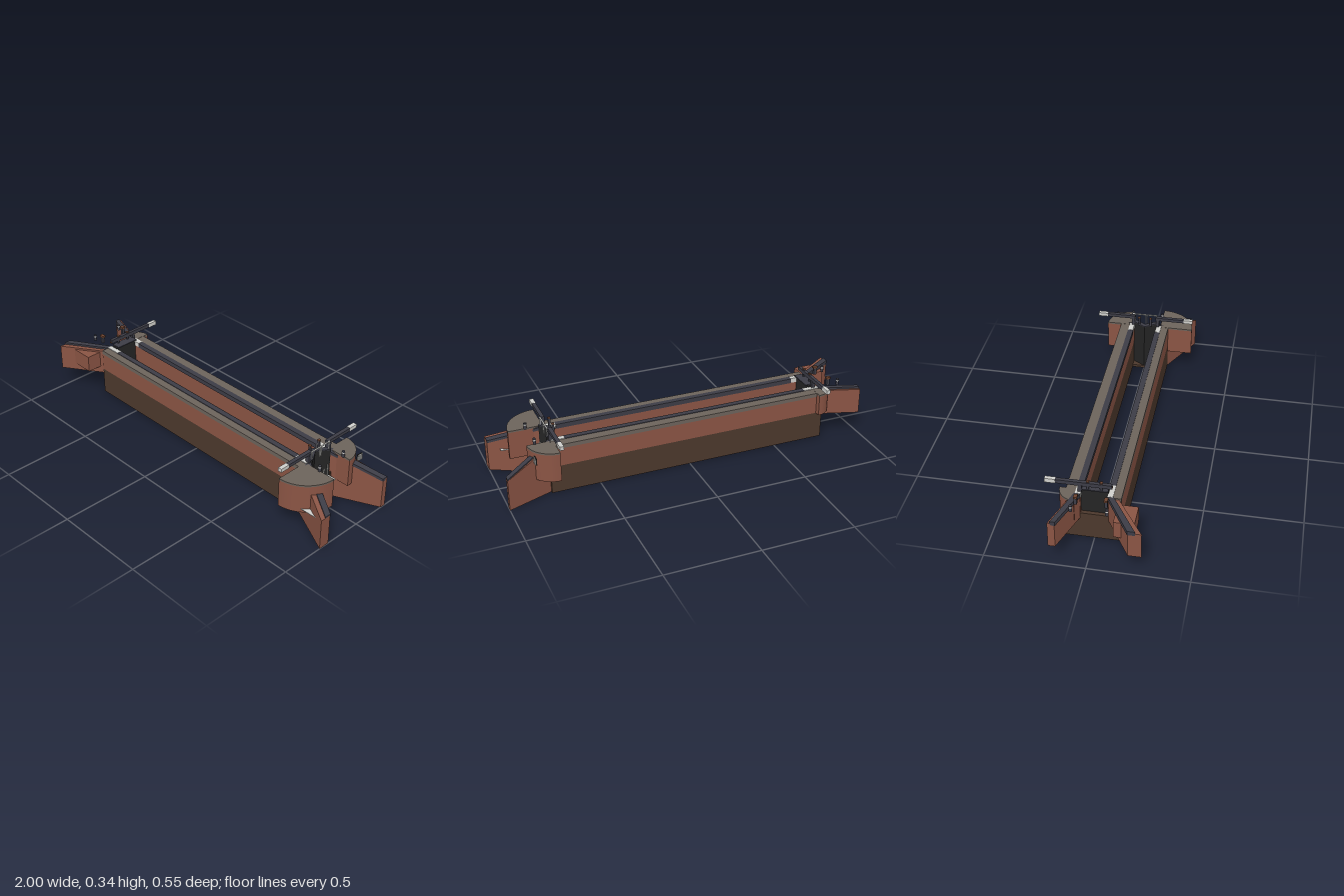
import * as THREE from 'three';

const mat = (name, color) => {
  const m = new THREE.MeshStandardMaterial({ color });
  m.name = name;
  return m;
};

export function createModel() {
  const root = new THREE.Group();
  root.name = 'canalLock';
  const brick = mat('brick', 0x8a5444);
  const darkBrick = mat('wet brick', 0x4c382c);
  const slate = mat('slate coping', 0x3c3c46);
  const paving = mat('paving', 0x6c635b);
  const black = mat('gate timber', 0x242424);
  const white = mat('white paint', 0xd0d0cc);
  const timber = mat('brown timber', 0x6e4430);

  const add = (name, geo, m) => {
    const mesh = new THREE.Mesh(geo, m);
    mesh.name = name;
    root.add(mesh);
    return mesh;
  };
  // Box given by its limits on each axis
  const box = (name, m, x0, x1, y0, y1, z0, z1) => {
    const g = new THREE.BoxGeometry(x1 - x0, y1 - y0, Math.abs(z1 - z0));
    g.translate((x0 + x1) / 2, (y0 + y1) / 2, (z0 + z1) / 2);
    return add(name, g, m);
  };
  // Upright prism over an x/z outline; limits may be functions of x
  const prism = (name, m, shape, y0, y1) => {
    const g = new THREE.ExtrudeGeometry(shape, { depth: 1, bevelEnabled: false, curveSegments: 24 });
    g.rotateX(-Math.PI / 2);
    const p = g.attributes.position;
    const at = (v, x) => (typeof v === 'function' ? v(x) : v);
    for (let i = 0; i < p.count; i++) p.setY(i, at(p.getY(i) > 0.5 ? y1 : y0, p.getX(i)));
    g.computeVertexNormals();
    return add(name, g, m);
  };
  const outline = (pts) => new THREE.Shape(pts.map(([x, z]) => new THREE.Vector2(x, -z)));
  const quarter = (x, z, r, dx, dz) => {
    const pts = [[x, z]];
    for (let i = 0; i <= 24; i++) {
      const a = (i / 24) * Math.PI / 2;
      pts.push([x + dx * r * Math.cos(a), z + dz * r * Math.sin(a)]);
    }
    return outline(pts);
  };

  // Chamber side walls with paving, coping and quoin stones
  for (const s of [1, -1]) {
    const out = s > 0 ? 0.133 : 0.142;
    box('lowerWall', darkBrick, -0.785, 0.76, 0, 0.15, s * 0.067, s * out);
    box('upperWall', brick, -0.785, 0.735, 0.15, 0.248, s * 0.067, s * out);
    box('wallPaving', paving, -0.785, 0.735, 0.248, 0.27, s * 0.092, s * out);
    box('chamberCoping', slate, -0.7, 0.665, 0.248, 0.273, s * 0.062, s * 0.092);
    box('upperQuoin', white, -0.785, -0.7, 0.248, 0.274, s * 0.064, s * 0.092);
    box('lowerQuoin', white, 0.665, 0.735, 0.248, 0.274, s * 0.064, s * 0.092);
  }
  box('breastWall', darkBrick, -0.785, -0.72, 0, 0.15, -0.067, 0.067);
  box('lowerSill', darkBrick, 0.69, 0.75, 0, 0.015, -0.067, 0.067);

  // Tail wing walls, sloping down away from the lock
  const slope = (x) => 0.27 - (x - 0.74) * 0.37;
  for (const [s, inner, cope, outer, root0] of [[1, 0.205, 0.238, 0.266, 0.133], [-1, 0.188, 0.217, 0.218, 0.12]]) {
    prism('tailWing', brick, outline([[0.74, s * 0.067], [1, s * inner], [1, s * outer], [0.74, s * root0]]), 0, (x) => slope(x) - 0.004);
    prism('tailWingCoping', slate, outline([[0.74, s * 0.064], [1, s * (inner - 0.003)], [1, s * cope], [0.74, s * 0.1]]),
      (x) => slope(x) - 0.012, (x) => slope(x) + 0.003);
  }

  // Rounded gate platforms at the tail
  for (const [s, r, cx] of [[1, 0.185, 0.727], [-1, 0.135, 0.727]]) {
    prism('roundPlatform', brick, quarter(cx, s * 0.086, r, 1, s), 0.11, 0.262);
    prism('roundPlatformPaving', paving, quarter(cx, s * 0.086, r, 1, s), 0.262, 0.271);
  }
  // Small rounded platform at the head
  prism('headPlatform', brick, quarter(-0.75, -0.085, 0.088, -1, -1), 0.15, 0.262);
  prism('headPlatformPaving', paving, quarter(-0.75, -0.085, 0.088, -1, -1), 0.262, 0.271);

  // Head wing walls, level-topped
  for (const [s, inner, cope, outer, root0] of [[1, 0.2, 0.235, 0.266, 0.12], [-1, 0.143, 0.165, 0.178, 0.105]]) {
    prism('headWing', brick, outline([[-0.78, s * 0.067], [-1, s * inner], [-1, s * outer], [-0.78, s * root0]]), 0.12, 0.262);
    prism('headWingCoping', slate, outline([[-0.78, s * 0.064], [-1, s * (inner - 0.003)], [-1, s * cope], [-0.78, s * 0.095]]), 0.25, 0.273);
  }
  box('headButtress', brick, -0.93, -0.805, 0.16, 0.252, 0.12, 0.22);

  // Mitre gates with balance beams, railings and paddle posts
  for (const s of [1, -1]) {
    prism('mitreGate', black, outline([[0.69, 0], [0.735, s * 0.067], [0.755, s * 0.067], [0.712, 0]]), 0.015, 0.285);
    prism('gateWalkway', slate, outline([[0.685, 0], [0.73, s * 0.065], [0.757, s * 0.065], [0.715, 0]]), 0.285, 0.29);
    box('balanceBeam', slate, 0.722, 0.742, 0.315, 0.333, s * 0.06, s * 0.222);
    box('beamTip', white, 0.721, 0.743, 0.314, 0.334, s * 0.222, s * 0.273);
    box('heelPost', slate, 0.722, 0.745, 0.27, 0.32, s * 0.062, s * 0.08);
    box('paddlePost', slate, 0.7, 0.712, 0.285, 0.333, s * 0.028, s * 0.038);
    box('paddleCap', timber, 0.699, 0.713, 0.333, 0.338, s * 0.026, s * 0.04);
    for (const z of [0.003, 0.06]) box('railPost', white, 0.744, 0.749, 0.275, 0.333, s * z, s * (z + 0.004));
  }
  box('handRail', white, 0.743, 0.75, 0.331, 0.335, -0.067, 0.067);

  // Leak jets and foam below the mitre gates
  box('foam', white, 0.745, 0.8, 0.127, 0.131, -0.066, 0.066);
  [[0.044, 0.2], [0.013, 0.198], [-0.021, 0.193], [-0.047, 0.207]].forEach(([z, h]) =>
    box('waterJet', white, 0.757, 0.762, 0.13, h, z - 0.003, z + 0.003));

  // Head gate with its single beam
  box('headGate', black, -0.765, -0.735, 0.13, 0.285, -0.067, 0.067);
  box('headGateWalkway', slate, -0.772, -0.72, 0.285, 0.291, -0.066, 0.066);
  box('headBeam', slate, -0.771, -0.753, 0.309, 0.33, -0.19, 0.085);
  box('headBeamTip', white, -0.772, -0.752, 0.308, 0.331, -0.242, -0.19);
  box('headHeelPost', slate, -0.772, -0.752, 0.27, 0.312, -0.08, -0.062);
  box('headBeamEnd', timber, -0.771, -0.753, 0.31, 0.316, 0.075, 0.087);
  for (const z of [-0.033, 0.033]) {
    box('headPaddlePost', slate, -0.768, -0.757, 0.285, 0.334, z - 0.005, z + 0.005);
    box('headPaddleCap', timber, -0.77, -0.755, 0.334, 0.338, z - 0.007, z + 0.007);
  }

  // Mooring bollards and paddle stands
  const bollard = (x, z) => {
    const body = add('bollard', new THREE.CylinderGeometry(0.008, 0.008, 0.034, 12), slate);
    body.position.set(x, 0.286, z);
    const band = add('bollardBand', new THREE.CylinderGeometry(0.0087, 0.0087, 0.006, 12), white);
    band.position.set(x, 0.294, z);
  };
  for (const s of [1, -1]) {
    bollard(0.82, s * 0.086);
    bollard(-0.907, s * 0.086);
    box('paddleStand', slate, -0.861, -0.845, 0.27, 0.314, s * 0.066, s * 0.08);
    box('paddleStandCap', timber, -0.866, -0.84, 0.308, 0.318, s * 0.064, s * 0.082);
  }

  // Lattice panel on the back platform
  box('latticeBack', black, 0.842, 0.848, 0.215, 0.25, -0.2, -0.166);
  for (let i = 0; i < 5; i++) {
    const z = -0.199 + i * 0.008, y = 0.216 + i * 0.0078;
    box('latticeUpright', white, 0.848, 0.851, 0.215, 0.25, z - 0.0012, z + 0.0012);
    box('latticeBar', white, 0.848, 0.851, y - 0.0012, y + 0.0012, -0.2, -0.166);
  }

  // Outfall in the front tail wing
  box('outfallFoam', white, 0.84, 0.94, 0.129, 0.132, 0.15, 0.232);
  box('outfallGrate', slate, 0.885, 0.897, 0.13, 0.166, 0.15, 0.156);

  return root;
}
